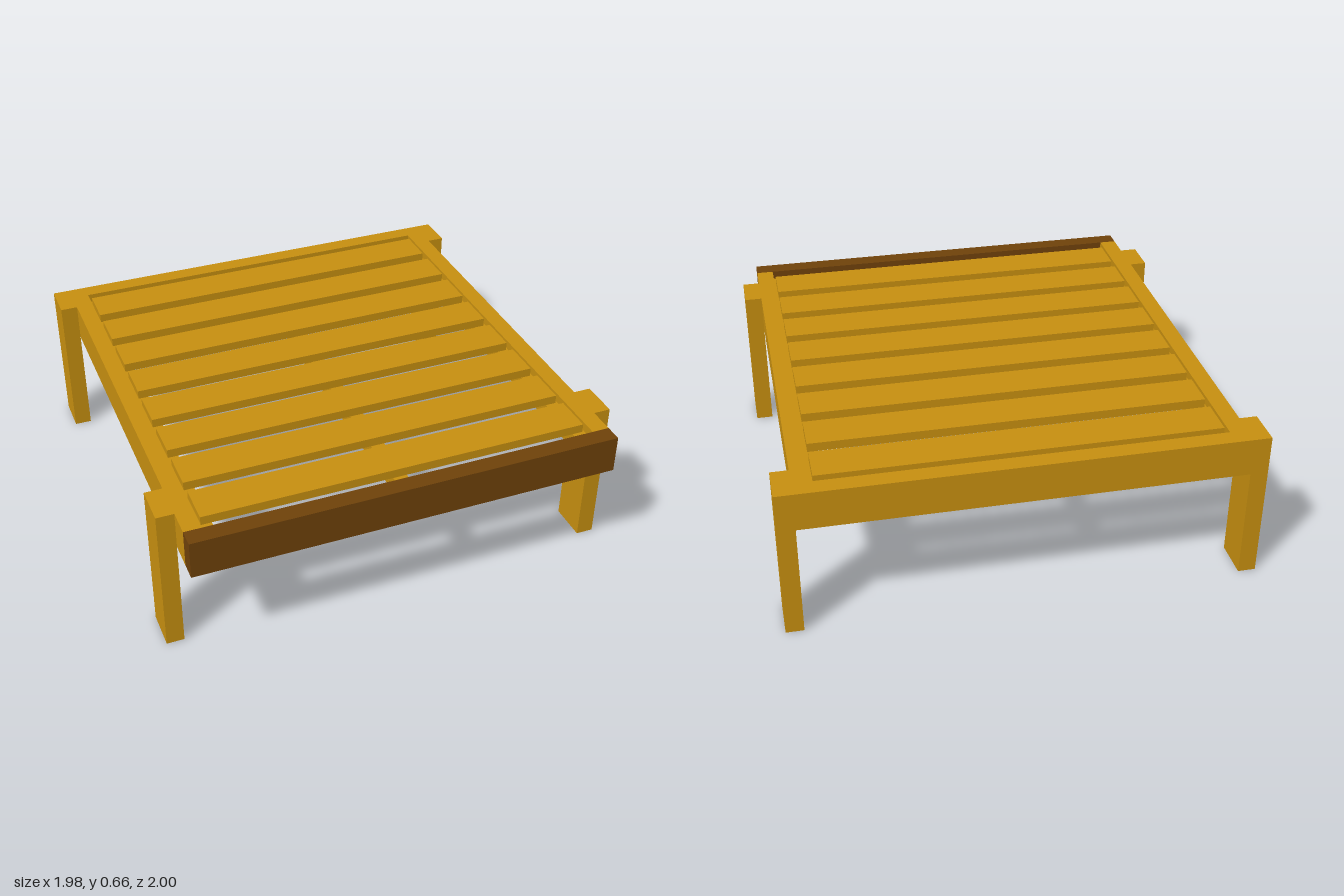
import * as THREE from 'three';

export function createModel() {
  const group = new THREE.Group();
  const wood = new THREE.MeshStandardMaterial({ color: 0xc89010 });
  const darkWood = new THREE.MeshStandardMaterial({ color: 0x70420a });

  // Board given by its extents on each axis
  function board(name, [x0, x1], [y0, y1], [z0, z1], material = wood) {
    const mesh = new THREE.Mesh(new THREE.BoxGeometry(x1 - x0, y1 - y0, z1 - z0), material);
    mesh.position.set((x0 + x1) / 2, (y0 + y1) / 2, (z0 + z1) / 2);
    mesh.name = name;
    group.add(mesh);
  }

  // Same board on the left (+x) and right (-x) side
  function pair(name, [x0, x1], y, z) {
    board(name + 'Left', [x0, x1], y, z);
    board(name + 'Right', [-x1, -x0], y, z);
  }

  const top = 0.66;
  const slatBottom = 0.622;
  const railY = [0.495, top];
  const supportY = [0.555, slatBottom];
  const innerZ = [-0.925, 0.925];

  // Frame
  board('frontRail', [-0.915, 0.915], railY, [0.925, 1], darkWood);
  board('backRail', [-0.915, 0.915], railY, [-1, -0.925]);
  pair('sideRail', [0.84, 0.915], railY, innerZ);

  // Legs bolted outside the side rails
  pair('frontLeg', [0.915, 0.99], [0, top], [0.643, 0.81]);
  pair('backLeg', [0.915, 0.99], [0, top], [-1, -0.833]);

  // Supports under the slats
  pair('slatLedger', [0.785, 0.84], supportY, innerZ);
  board('centerBeam', [-0.03, 0.03], supportY, innerZ);

  // Slats, level with the frame
  for (let i = 0; i < 8; i++) {
    const z = -0.806 + i * 0.2267;
    board('slat' + (i + 1), [-0.83, 0.83], [slatBottom, top], [z - 0.084, z + 0.084]);
  }

  return group;
}
